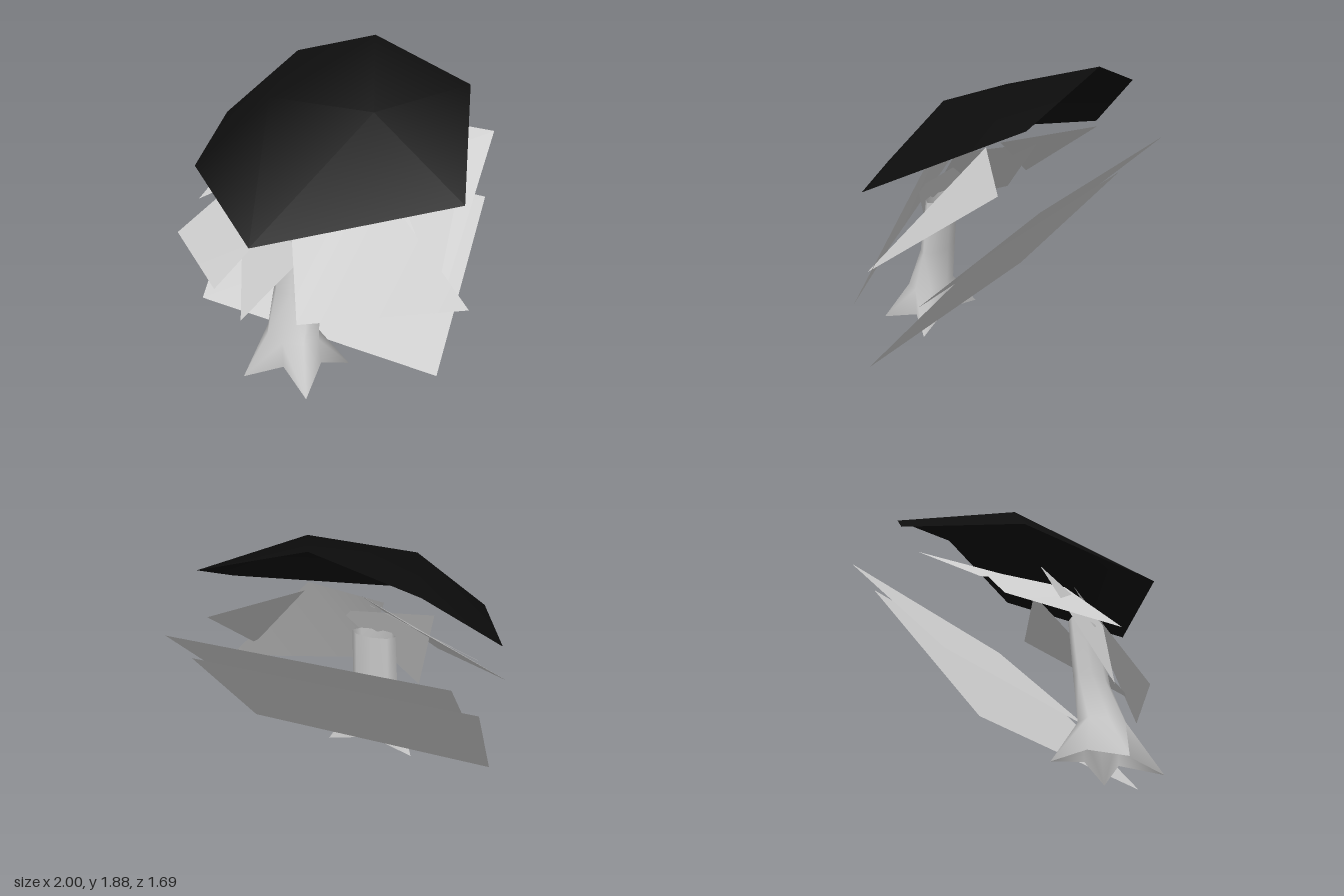
import * as THREE from 'three';

const leafGrey = new THREE.MeshStandardMaterial({ color: 0xcccccc, side: THREE.DoubleSide });
leafGrey.name = 'pale grey';
const canopyBlack = new THREE.MeshStandardMaterial({ color: 0x0d0d0d, side: THREE.DoubleSide });
canopyBlack.name = 'near black';

function makeMesh(name, points, index, material) {
  const geometry = new THREE.BufferGeometry();
  geometry.setAttribute('position', new THREE.Float32BufferAttribute(points.flat(), 3));
  geometry.setIndex(index);
  geometry.computeVertexNormals();
  const mesh = new THREE.Mesh(geometry, material);
  mesh.name = name;
  return mesh;
}

// Flat card with three or four corners, counter-clockwise from the front
function card(name, ...corners) {
  const index = corners.length === 4 ? [0, 1, 2, 0, 2, 3] : [0, 1, 2];
  return makeMesh(name, corners, index, leafGrey);
}

// Trunk: oval rings rising from a four-toed root star
function trunk() {
  const points = [
    [-0.045, 0.08, 0.59], [0.185, 0.005, 0.71], [0.15, 0.085, 0.45], [0.27, 0.015, 0.295],
    [-0.045, 0.08, 0.33], [-0.36, 0.015, 0.295], [-0.24, 0.085, 0.45], [-0.27, 0.005, 0.71],
  ];
  const rings = [ // y, centre z, x radius, z radius
    [0.27, 0.46, 0.185, 0.135],
    [0.55, 0.395, 0.165, 0.085],
    [0.92, 0.355, 0.155, 0.07],
  ];
  for (const [y, z, rx, rz] of rings) {
    for (let j = 0; j < 8; j++) {
      const t = (j * Math.PI) / 4;
      points.push([-0.045 + rx * Math.sin(t), y, z + rz * Math.cos(t)]);
    }
  }
  const index = [];
  for (let i = 0; i < rings.length; i++) {
    for (let j = 0; j < 8; j++) {
      const a = i * 8 + j, b = i * 8 + ((j + 1) % 8), c = a + 8, d = b + 8;
      // diagonals run from the toes up to the middle of each side
      if (j % 2) index.push(a, b, d, a, d, c);
      else index.push(a, b, c, b, d, c);
    }
  }
  return makeMesh('trunk', points, index, leafGrey);
}

// Canopy: seven-cornered rim raised over a short ridge
function canopy() {
  const rim = [
    [-1, 1.33, -0.31], [-0.64, 1.72, -0.7], [-0.06, 1.89, -0.73], [0.63, 1.67, -0.67],
    [0.91, 1.27, 0.18], [-0.08, 1.075, 0.84], [-0.77, 1.24, 0.38],
  ];
  const ridge = [[-0.4, 1.65, 0.07], [0.3, 1.67, 0.07]];
  const index = [7, 8, 2, 7, 5, 8];
  for (let i = 0; i < 7; i++) {
    const top = i >= 2 && i <= 4 ? 8 : 7;
    index.push(top, (i + 1) % 7, i);
  }
  return makeMesh('canopy', [...rim, ...ridge], index, canopyBlack);
}

export function createModel() {
  const model = new THREE.Group();
  model.name = 'tree';
  model.add(
    trunk(),
    canopy(),
    // Large sloping cards behind the trunk
    card('lowerBackCard', [-0.93, 0.11, 0.24], [0.855, 0.11, 0.26], [0.84, 1.0, -0.51], [-0.945, 1.005, -0.53]),
    card('upperBackCard', [-0.835, 0.58, -0.08], [0.775, 0.58, -0.07], [0.77, 1.325, -0.835], [-0.85, 1.33, -0.85]),
    // Leaf cards hanging under the canopy
    card('rightLeaf', [-0.96, 0.72, 0.39], [-0.4, 0.665, 0.765], [0, 1.26, 0.2], [-0.45, 1.27, -0.14]),
    card('leftLeaf', [0.12, 0.53, 0.69], [1.0, 0.62, 0.21], [0.34, 1.32, 0.15], [-0.12, 1.17, 0.33]),
    card('middleLeaf', [-0.3, 0.4, 0.66], [0.2, 1.05, 0.36], [-0.47, 1.15, 0.3]),
    card('leftBackLeaf', [0.82, 0.735, 0.26], [0.68, 1.32, -0.54], [0.22, 1.41, -0.17]),
    card('rightBackLeaf', [-0.91, 0.895, 0.2], [-0.12, 1.34, -0.06], [-0.68, 1.38, -0.46]),
  );
  return model;
}
